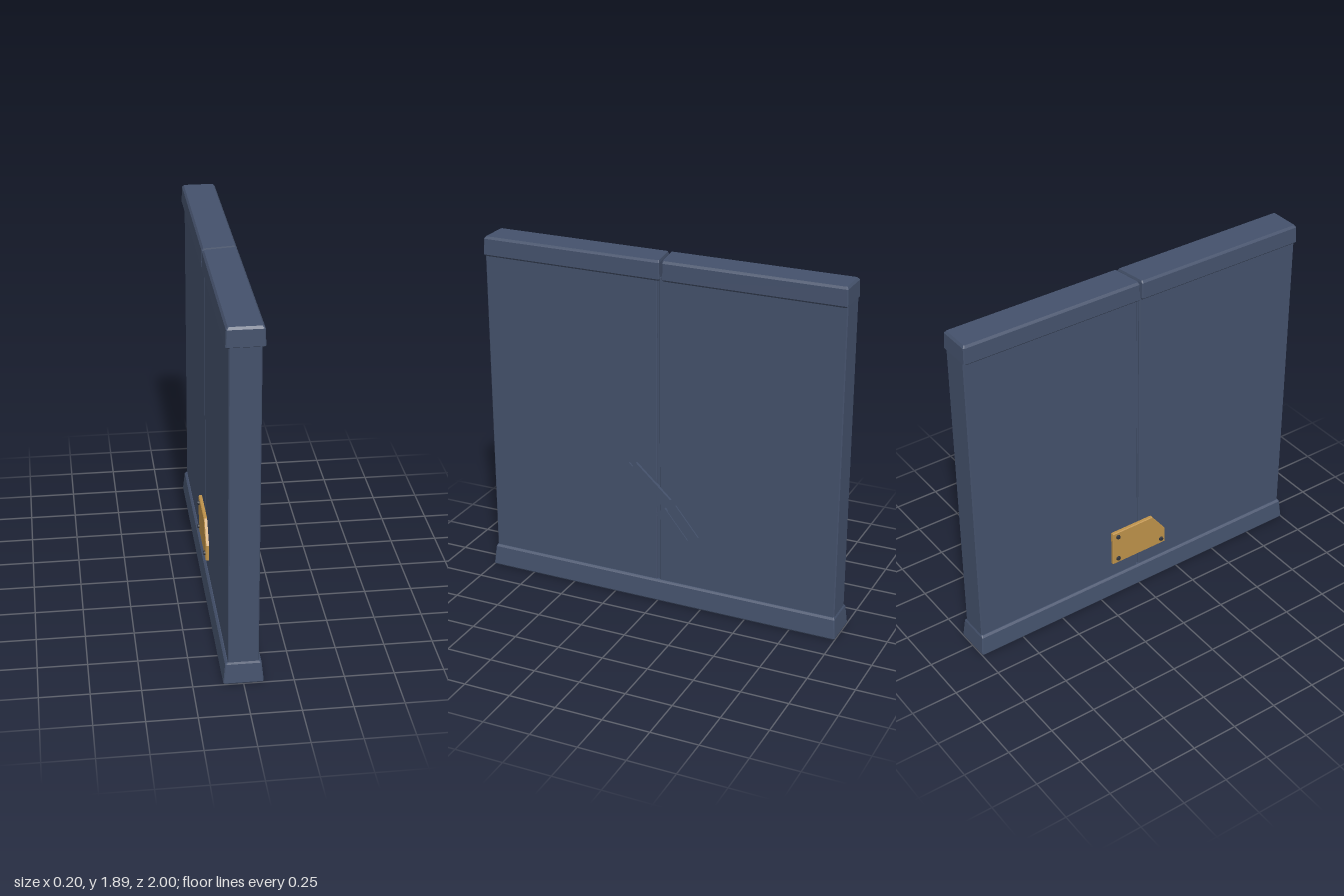
import * as THREE from 'three';

const slate = new THREE.MeshStandardMaterial({ color: 0x44516b });
slate.name = 'slate blue';
const brass = new THREE.MeshStandardMaterial({ color: 0xbe924a });
brass.name = 'brass';
const iron = new THREE.MeshStandardMaterial({ color: 0x30343c });
iron.name = 'dark iron';

// Plan outline with chamfered corners; slants skew the z ends along x
function ring(y, hx, z0, z1, slant0 = 0, slant1 = 0, c = 0.005) {
  const a = (x) => z0 + slant0 * x, b = (x) => z1 + slant1 * x;
  const xi = hx - c;
  return [
    [-hx, b(-hx) - c], [-xi, b(-xi)], [xi, b(xi)], [hx, b(hx) - c],
    [hx, a(hx) + c], [xi, a(xi)], [-xi, a(-xi)], [-hx, a(-hx) + c],
  ].map(([x, z]) => [x, y, z]);
}

// Flat-shaded solid through a stack of rings, from bottom to top
function loft(name, rings, material) {
  const n = rings[0].length, index = [];
  for (let r = 0; r < rings.length - 1; r++) {
    for (let i = 0; i < n; i++) {
      const a = r * n + i, b = r * n + (i + 1) % n;
      index.push(a, b, b + n, a, b + n, a + n);
    }
  }
  const top = (rings.length - 1) * n;
  for (let i = 1; i < n - 1; i++) {
    index.push(0, i + 1, i, top, top + i, top + i + 1);
  }
  const indexed = new THREE.BufferGeometry();
  indexed.setAttribute('position', new THREE.Float32BufferAttribute(rings.flat(2), 3));
  indexed.setIndex(index);
  const geometry = indexed.toNonIndexed();
  geometry.computeVertexNormals();
  const mesh = new THREE.Mesh(geometry, material);
  mesh.name = name;
  return mesh;
}

export function createModel() {
  const model = new THREE.Group();
  model.name = 'wallPanel';

  // Flared plinth
  model.add(loft('base', [
    ring(0, 0.096, -0.996, 0.996),
    ring(0.007, 0.1, -1, 1),
    ring(0.108, 0.09, -0.99, 0.99),
    ring(0.118, 0.08, -0.985, 0.985),
  ], slate));

  // Two wall slabs with a narrow groove, closed by a recessed core
  const slab = (name, z0, z1) => model.add(loft(name,
    [ring(0.1, 0.076, z0, z1), ring(1.8, 0.076, z0, z1)], slate));
  slab('frontSlab', 0.010, 0.985);
  slab('backSlab', -0.985, -0.003);
  const core = new THREE.Mesh(new THREE.BoxGeometry(0.13, 1.69, 0.04), slate);
  core.name = 'grooveCore';
  core.position.set(0, 0.95, 0.003);
  model.add(core);

  // Two coping blocks parted by a slanted joint
  const cap = (name, z0, z1, s0, s1) => model.add(loft(name, [
    [1.785, 0.010], [1.795, 0], [1.878, 0.003], [1.89, 0.012],
  ].map(([y, inset]) => ring(y, 0.092 - inset,
    z0 + (s0 ? inset / 3 : inset), z1 - (s1 ? inset / 3 : inset), s0, s1)), slate));
  cap('frontCap', 0.004, 0.988, -0.15, 0);
  cap('backCap', -0.988, -0.008, 0, -0.15);

  // Raised broken strips across the groove on the left face
  const strips = new THREE.Group();
  strips.name = 'raisedStrips';
  for (const [y, z, length, width, outer, degrees] of [
    [0.673, 0.043, 0.263, 0.05, 0.091, 42],
    [0.643, 0.100, 0.27, 0.098, 0.085, 42],
    [0.450, -0.080, 0.207, 0.064, 0.091, 51],
    [0.475, -0.140, 0.205, 0.06, 0.085, 51],
  ]) {
    const depth = outer - 0.07;
    const strip = new THREE.Mesh(new THREE.BoxGeometry(depth, width, length), slate);
    strip.name = 'strip';
    strip.position.set(outer - depth / 2, y, z);
    strip.rotation.x = -THREE.MathUtils.degToRad(degrees);
    strips.add(strip);
  }
  model.add(strips);

  // Brass repair plate with one clipped corner on the right face
  const outline = new THREE.Shape([
    [-0.165, 0.21], [0.17, 0.21], [0.17, 0.295], [0.085, 0.408], [-0.165, 0.408],
  ].map(([z, y]) => new THREE.Vector2(z, y)));
  const plate = new THREE.Mesh(new THREE.ExtrudeGeometry(outline, {
    depth: 0.014, bevelEnabled: true, bevelThickness: 0.004, bevelSize: 0.004, bevelSegments: 1,
  }), brass);
  plate.name = 'brassPlate';
  plate.rotation.y = -Math.PI / 2;
  plate.position.x = -0.076;
  model.add(plate);

  // Rivets
  for (const [z, y] of [[-0.137, 0.238], [-0.137, 0.383], [0.145, 0.238]]) {
    const rivet = new THREE.Mesh(new THREE.CylinderGeometry(0.011, 0.014, 0.014, 10), iron);
    rivet.name = 'rivet';
    rivet.rotation.z = Math.PI / 2;
    rivet.position.set(-0.096, y, z);
    model.add(rivet);
  }

  return model;
}
